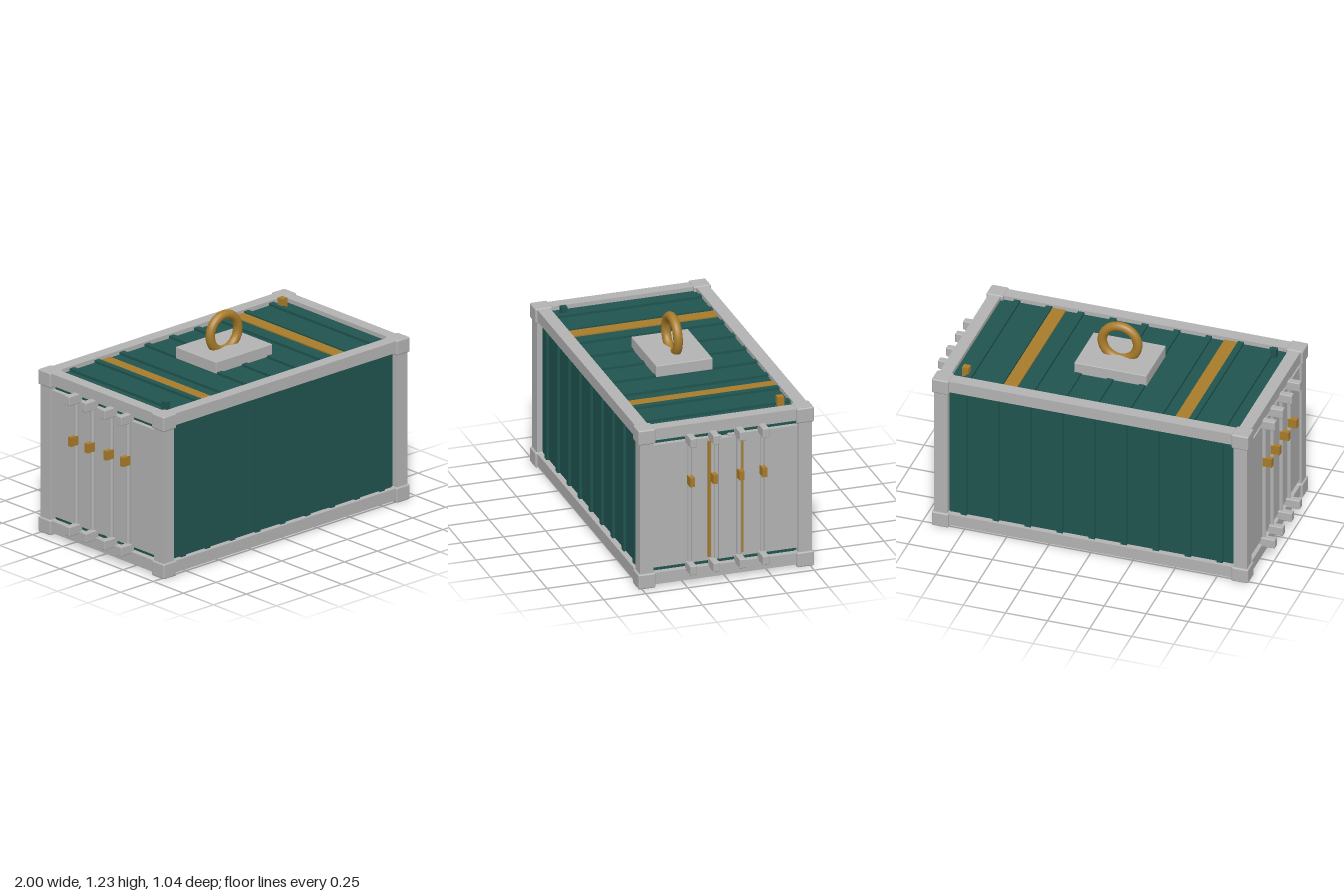
import * as THREE from 'three';
import { RoundedBoxGeometry } from 'three/addons/geometries/RoundedBoxGeometry.js';

export function createModel() {
  const model = new THREE.Group();
  model.name = 'cargoContainer';
  const mat = (name, color) => {
    const m = new THREE.MeshStandardMaterial({ color });
    m.name = name;
    return m;
  };
  const teal = mat('teal', 0x20544f);
  const grey = mat('grey', 0xb3b3b3);
  const gold = mat('gold', 0xa87c2a);

  const add = (name, geometry, material, x, y, z) => {
    const mesh = new THREE.Mesh(geometry, material);
    mesh.name = name;
    mesh.position.set(x, y, z);
    model.add(mesh);
    return mesh;
  };
  // Box given by its lower and upper limits; bevel rounds the edges
  const box = (name, material, [x0, x1], [y0, y1], [z0, z1], bevel = 0) => {
    const size = [Math.abs(x1 - x0), Math.abs(y1 - y0), Math.abs(z1 - z0)];
    const geometry = bevel ? new RoundedBoxGeometry(...size, 2, bevel) : new THREE.BoxGeometry(...size);
    return add(name, geometry, material, (x0 + x1) / 2, (y0 + y1) / 2, (z0 + z1) / 2);
  };

  // Body with corrugation ribs on sides, roof and floor
  box('body', teal, [-0.89, 0.89], [0.04, 0.945], [-0.475, 0.475]);
  for (let i = 0; i < 9; i++) {
    const x = -0.76 + i * 0.19;
    const span = [x - 0.018, x + 0.018];
    for (const s of [-1, 1]) box('sideRib', teal, span, [0.08, 0.905], [s * 0.47, s * 0.49]);
    box('roofRib', teal, span, [0.94, 0.96], [-0.44, 0.44]);
    box('floorRib', teal, span, [0.025, 0.045], [-0.44, 0.44]);
  }

  // Painted stripes on roof and floor
  for (const x of [-0.51, 0.51]) {
    box('roofStripe', gold, [x - 0.04, x + 0.04], [0.944, 0.952], [-0.436, 0.436]);
    box('floorStripe', gold, [x - 0.04, x + 0.04], [0.033, 0.041], [-0.436, 0.436]);
  }

  // Frame: posts, rails and corner castings
  for (const s of [-1, 1]) {
    for (const y of [[0.015, 0.085], [0.9, 0.97]]) {
      box('longRail', grey, [-0.88, 0.88], y, [s * 0.435, s * 0.51]);
      box('endRail', grey, [s * 0.855, s * 0.926], y, [-0.46, 0.46]);
    }
    for (const t of [-1, 1]) {
      box('cornerPost', grey, [s * 0.85, s * 0.93], [0.05, 0.93], [t * 0.43, t * 0.51]);
      for (const y of [[0, 0.09], [0.885, 0.975]])
        box('cornerCasting', grey, [s * 0.84, s * 0.94], y, [t * 0.42, t * 0.522], 0.008);
    }
  }

  // Doors, locking rods, brackets and handles on both ends
  const rod = new THREE.CylinderGeometry(0.013, 0.013, 0.72, 12);
  for (const s of [-1, 1]) {
    for (const t of [-1, 1])
      box('door', grey, [s * 0.88, s * 0.918], [0.115, 0.867], [t * 0.02, t * 0.455]);
    box('doorSeam', grey, [s * 0.88, s > 0 ? 0.93 : -0.922], [0.12, 0.858], [-0.042, 0.042]);
    for (const z of [-0.215, -0.078, 0.078, 0.215]) {
      add('lockRod', rod, grey, s * 0.929, 0.493, z);
      for (const y of [[0.072, 0.128], [0.856, 0.912]])
        box('rodBracket', grey, [s * 0.9, s], y, [z - 0.02, z + 0.02], 0.005);
      box('rodHandle', gold, [s * 0.925, s * 0.98], [0.605, 0.66], [z - 0.014, z + 0.014]);
    }
  }
  for (const s of [-1, 1])
    box('doorTrim', gold, [0.915, 0.932], [0.14, 0.85], [s * 0.084, s * 0.105]);

  // Lifting plate and ring
  box('liftPlate', grey, [-0.215, 0.215], [0.95, 1.02], [-0.168, 0.168], 0.004);
  add('liftRing', new THREE.TorusGeometry(0.105, 0.027, 16, 40), gold, 0, 1.1, 0);

  // Small roof markers
  box('goldMarker', gold, [0.765, 0.805], [0.945, 1.0], [-0.39, -0.35]);
  box('tealMarker', teal, [-0.805, -0.77], [0.945, 0.995], [0.355, 0.39]);
  return model;
}
